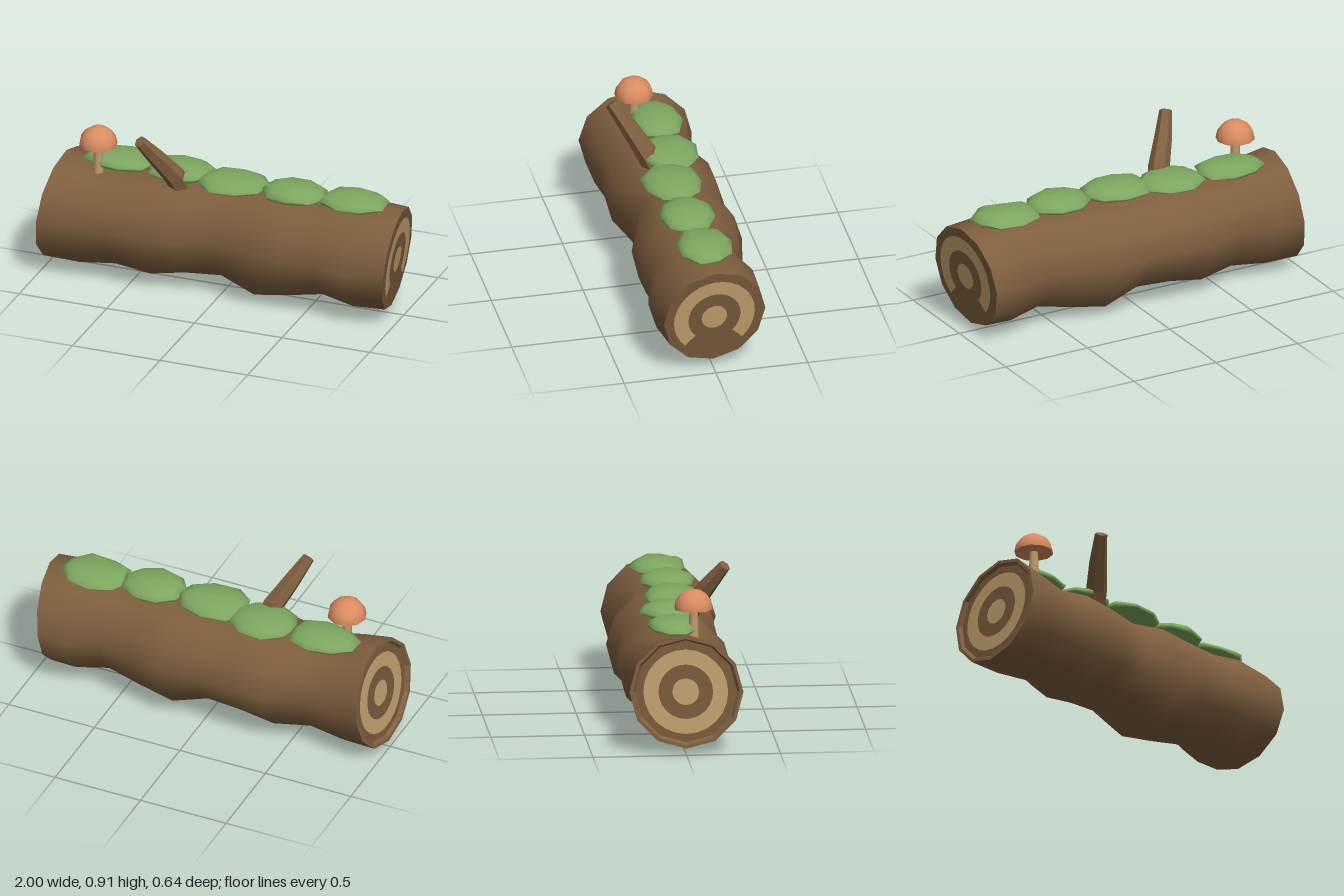
import * as THREE from 'three';

const mat = (name, color, side = THREE.FrontSide) => {
  const m = new THREE.MeshStandardMaterial({ color, side });
  m.name = name;
  return m;
};

// Joins rings of points (right-handed around the direction of travel) into a skin.
function loft(rings, smooth) {
  const n = rings[0].length, index = [];
  for (let i = 0; i < rings.length - 1; i++) {
    for (let j = 0; j < n; j++) {
      const a = i * n + j, b = i * n + (j + 1) % n;
      index.push(a, b, a + n, b, b + n, a + n);
    }
  }
  let geo = new THREE.BufferGeometry().setFromPoints(rings.flat());
  geo.setIndex(index);
  if (!smooth) geo = geo.toNonIndexed();
  geo.computeVertexNormals();
  return geo;
}

export function createModel() {
  const model = new THREE.Group();
  const bark = mat('bark brown', 0x7f5f3f);
  const wood = mat('end grain brown', 0x775a3b);
  const pale = mat('pale wood', 0xc09e6d);
  const moss = mat('moss green', 0x7da75f);
  const orange = mat('mushroom orange', 0xdb8c61);
  const add = (name, geo, material) => {
    const mesh = new THREE.Mesh(geo, material);
    mesh.name = name;
    model.add(mesh);
    return mesh;
  };

  let seed = 7;
  const rand = () => ((seed = (seed * 16807) % 2147483647) / 2147483647) - 0.5;

  // Slanted cut planes at the two ends
  const cut = {
    '-1': (y, z) => -0.96 + 0.11 * (y - 0.335) - 0.07 * z,
    '1': (y, z) => 0.96 + 0.11 * (y - 0.325) + 0.1 * z,
  };

  // Log trunk sections: x, top, bottom, back, front
  const SIDES = 12;
  const sections = [
    [-0.96, 0.638, 0.035, -0.3, 0.305],
    [-0.79, 0.612, 0.03, -0.27, 0.3],
    [-0.59, 0.568, 0.055, -0.24, 0.28],
    [-0.39, 0.602, 0.03, -0.31, 0.295],
    [-0.2, 0.6, 0.066, -0.31, 0.26],
    [0, 0.585, 0.075, -0.29, 0.215],
    [0.2, 0.612, 0, -0.322, 0.28],
    [0.39, 0.597, 0.035, -0.28, 0.285],
    [0.59, 0.595, 0.08, -0.235, 0.275],
    [0.77, 0.62, 0.045, -0.29, 0.315],
    [0.96, 0.606, 0.047, -0.285, 0.28],
  ];
  const rings = sections.map(([x, top, bottom, back, front], i) => {
    const cy = i === 0 || i === 10 ? (top + bottom) / 2 : 0.325;
    return Array.from({ length: SIDES }, (_, j) => {
      const t = (j / SIDES) * Math.PI * 2, c = Math.cos(t), s = Math.sin(t);
      const y = cy + c * (c > 0 ? top - cy : cy - bottom);
      const z = s * (s > 0 ? front : -back);
      const end = i === 0 ? -1 : i === 10 ? 1 : 0;
      return new THREE.Vector3(end ? cut[end](y, z) : x, y, z);
    });
  });
  add('logBark', loft(rings, true), bark);

  // End faces: the one at -x sits inside a raised bark lip
  const inset = (ring, k, cy, side, depth) => ring.map((p) => {
    const y = cy + (p.y - cy) * k, z = p.z * k;
    return new THREE.Vector3(cut[side](y, z) - side * depth, y, z);
  });
  const first = rings[0], last = rings[10];
  const lip = inset(first, 0.94, 0.335, -1, 0), floor = inset(first, 0.9, 0.335, -1, 0.02);
  add('barkLip', loft([floor, lip, first]), bark);
  add('endFaceRight', loft([inset(first, 0, 0.335, -1, 0.02), floor]), wood);
  add('endFaceLeft', loft([last, inset(last, 0, 0.325, 1, 0)]), wood);

  // Growth rings laid on the slanted end faces
  const growthRing = (name, side, cy, depth, inner, outer, start, length) => {
    const geo = inner
      ? new THREE.RingGeometry(inner, outer, 24, 1, start, length)
      : new THREE.CircleGeometry(outer, 12);
    geo.rotateY(side * Math.PI / 2).translate(0, cy, 0);
    const p = geo.attributes.position;
    for (let i = 0; i < p.count; i++) p.setX(i, cut[side](p.getY(i), p.getZ(i)) + side * depth);
    geo.computeVertexNormals();
    add(name, geo, pale);
  };
  growthRing('growthRingLeft', 1, 0.325, 0.004, 0.145, 0.225, -Math.PI / 4, Math.PI * 1.5);
  growthRing('heartwoodLeft', 1, 0.325, 0.004, 0, 0.072);
  growthRing('growthRingRight', -1, 0.335, -0.015, 0.145, 0.225, 0, Math.PI * 2);
  growthRing('heartwoodRight', -1, 0.335, -0.015, 0, 0.072);

  // Moss cushions: x, z, half length, half width, height
  const cushions = [
    [-0.63, -0.035, 0.2, 0.14, 0.057],
    [-0.28, -0.03, 0.19, 0.155, 0.056],
    [0.04, 0.02, 0.2, 0.165, 0.06],
    [0.385, 0.02, 0.185, 0.155, 0.064],
    [0.715, -0.005, 0.195, 0.152, 0.057],
  ];
  const domeProfile = [[0, 1], [0.5, 0.94], [0.82, 0.62], [1, 0.25], [0.94, 0], [0, 0]];
  cushions.forEach(([x, z, rx, rz, h], i) => {
    const wobble = Array.from({ length: 9 }, () => 1 + rand() * 0.14);
    const lift = Array.from({ length: 9 }, () => rand() * 0.014);
    const dome = domeProfile.map(([r, y], k) => wobble.map((w, j) => {
      const t = ((j + i * 0.4) / 9) * Math.PI * 2;
      const dy = k > 1 && k < 4 ? lift[j] : 0;
      return new THREE.Vector3(x + Math.cos(t) * r * rx * w, 0.611 + y * h + dy, z + Math.sin(t) * r * rz * w);
    }));
    add('mossCushion' + (i + 1), loft(dome, true), moss);
  });

  // Broken branch stub: tapered six-sided sections along a slight bend
  const up = new THREE.Vector3(0, 1, 0);
  const tip = [-0.405, 0.89, 0.257];
  const branch = [
    [[-0.25, 0.575, 0.06], 0.06, [-0.08, 0.2, 0.1]],
    [[-0.275, 0.65, 0.1], 0.058, [-0.08, 0.2, 0.1]],
    [[-0.345, 0.775, 0.178], 0.048, [-0.08, 0.15, 0.1]],
    [tip, 0.034, [-0.06, 0.13, 0.09]],
    [tip, 0, [-0.06, 0.13, 0.09]],
  ].map(([p, r, d]) => {
    const q = new THREE.Quaternion().setFromUnitVectors(up, new THREE.Vector3(...d).normalize());
    return Array.from({ length: 6 }, (_, j) => {
      const t = (j / 6) * Math.PI * 2;
      return new THREE.Vector3(Math.sin(t) * r, 0, Math.cos(t) * r)
        .applyQuaternion(q).add(new THREE.Vector3(...p));
    });
  });
  add('branchStub', loft(branch), bark);

  // Mushroom
  add('mushroomStem', new THREE.CylinderGeometry(0.023, 0.029, 0.17, 7), pale).position.set(-0.72, 0.66, 0.062);
  add('mushroomCap', new THREE.SphereGeometry(0.105, 10, 4, 0, Math.PI * 2, 0, Math.PI / 2), orange)
    .position.set(-0.72, 0.735, 0.062);
  add('mushroomUnderside', new THREE.CircleGeometry(0.105, 10).rotateX(Math.PI / 2), orange)
    .position.set(-0.72, 0.735, 0.062);

  return model;
}
